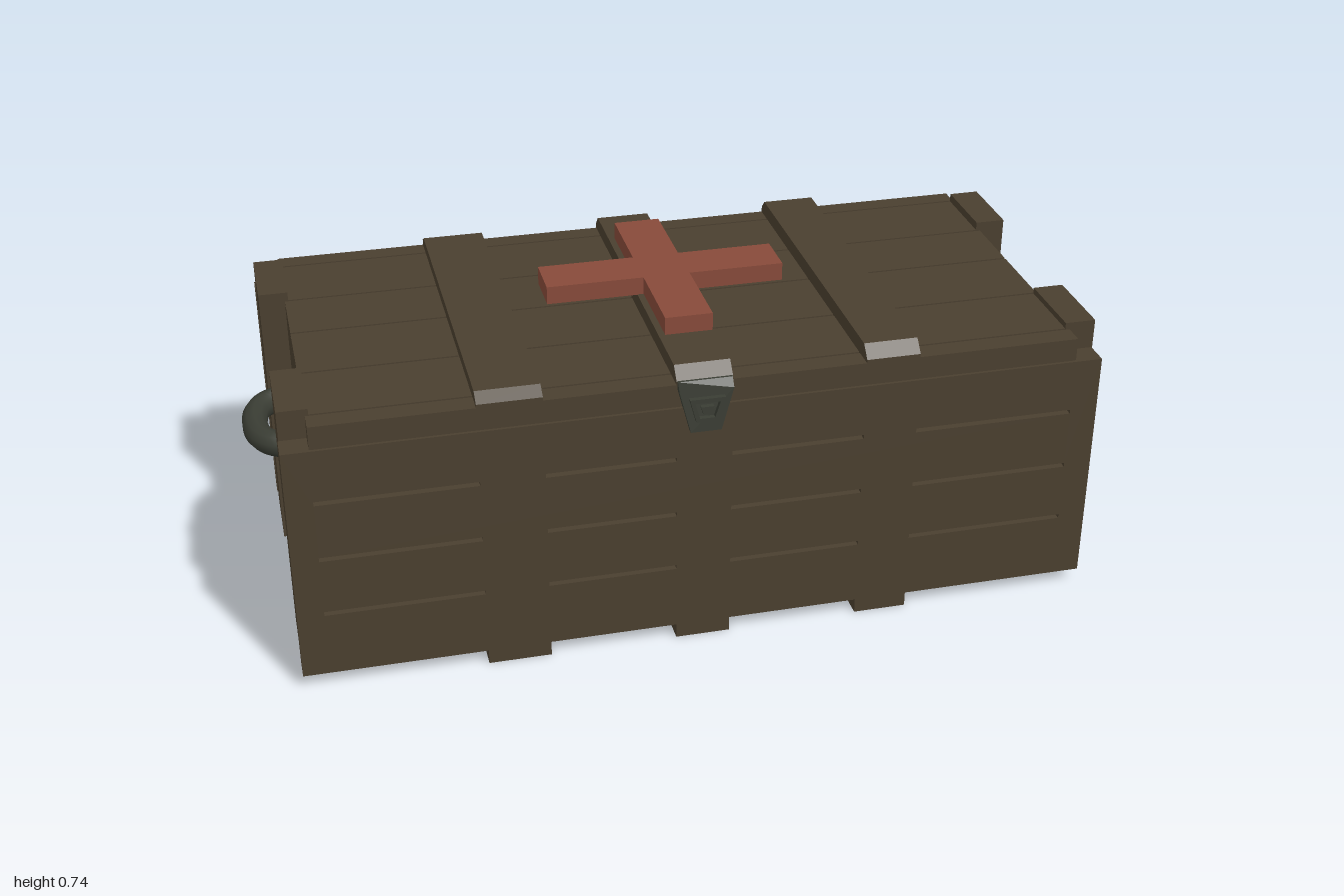
import * as THREE from 'three';

const wood = new THREE.MeshStandardMaterial({ color: 0x4a3f2f });
const metal = new THREE.MeshStandardMaterial({ color: 0x3a3d34 });
const red = new THREE.MeshStandardMaterial({ color: 0x874a3a });

// Box given by its extents on each axis
function block(name, x0, x1, y0, y1, z0, z1, material = wood) {
  const mesh = new THREE.Mesh(new THREE.BoxGeometry(x1 - x0, y1 - y0, z1 - z0), material);
  mesh.position.set((x0 + x1) / 2, (y0 + y1) / 2, (z0 + z1) / 2);
  mesh.name = name;
  return mesh;
}

// Flat outline pushed along its normal
function slab(name, points, depth, material, holes = []) {
  const shape = new THREE.Shape(points.map(([x, y]) => new THREE.Vector2(x, y)));
  for (const hole of holes) shape.holes.push(new THREE.Path(hole.map(([x, y]) => new THREE.Vector2(x, y))));
  const mesh = new THREE.Mesh(new THREE.ExtrudeGeometry(shape, { depth, bevelEnabled: false }), material);
  mesh.name = name;
  return mesh;
}

const rect = (x0, x1, y0, y1) => [[x0, y0], [x1, y0], [x1, y1], [x0, y1]];

// U-shaped carrying handle with rounded corners
function handle(name, side, y, z) {
  const points = [[0.85, -0.113], [0.89, -0.113], [0.93, -0.1], [0.957, -0.068], [0.968, -0.025],
    [0.968, 0.025], [0.957, 0.068], [0.93, 0.1], [0.89, 0.113], [0.85, 0.113]]
    .map(([px, pz]) => new THREE.Vector3(side * px, y, z + pz));
  const mesh = new THREE.Mesh(
    new THREE.TubeGeometry(new THREE.CatmullRomCurve3(points), 32, 0.03, 10), metal);
  mesh.name = name;
  return mesh;
}

export function createModel() {
  const model = new THREE.Group();
  model.name = 'crate';
  const straps = [[-0.51, -0.365, 0.693], [-0.07, 0.057, 0.702], [0.365, 0.49, 0.702]];

  // Chest core, whose ends show between the battens
  model.add(block('chestCore', -0.868, 0.868, 0.036, 0.612, -0.415, 0.395));

  // Front and back walls with slots between the planks
  const slots = [];
  for (const y of [0.195, 0.337, 0.48]) {
    for (const [x0, x1] of [[-0.87, -0.51], [-0.365, -0.07], [0.057, 0.365], [0.49, 0.865]]) {
      slots.push(rect(x0, x1, y - 0.005, y + 0.005));
    }
  }
  for (const [name, z, depth] of [['frontWall', 0.36, 0.06], ['backWall', -0.44, 0.05]]) {
    const wall = slab(name, rect(-0.93, 0.93, 0.035, 0.61), depth, wood, slots);
    wall.position.z = z;
    model.add(wall);
  }

  // Upright battens on both ends
  for (const side of [-1, 1]) {
    const [x0, x1] = side > 0 ? [0.86, 0.932] : [-0.928, -0.86];
    model.add(block('frontEndBatten', x0, x1, 0.015, 0.68, 0.17, 0.36));
    model.add(block('backEndBatten', x0, x1, 0.015, 0.686, -0.39, -0.203));
  }

  // Lid planks with narrow gaps over a base
  model.add(block('lidBase', -0.866, 0.866, 0.61, 0.655, -0.438, 0.413));
  const edges = [-0.44, -0.39, -0.2, -0.028, 0.17, 0.362, 0.415];
  for (let i = 0; i < edges.length - 1; i++) {
    const a = edges[i] + (i ? 0.003 : 0);
    const b = edges[i + 1] - (i < edges.length - 2 ? 0.003 : 0);
    model.add(block('lidPlank', -0.868, 0.868, 0.612, 0.666, a, b));
  }

  // Chamfered lid straps and the runners below
  for (const [x0, x1, top] of straps) {
    const profile = [[-0.415, 0.66], [0.44, 0.66], [0.44, 0.68], [0.418, top], [-0.388, top], [-0.415, 0.674]];
    const strap = slab('lidStrap', profile, x1 - x0, wood);
    strap.rotation.y = Math.PI / 2; // outline runs along -z
    strap.position.x = x0;
    model.add(strap);
    model.add(block('runner', x0, x1, 0, 0.036, -0.44, 0.42));
  }

  // Cross on the lid
  const cross = slab('cross', [[-0.055, -0.245], [0.055, -0.245], [0.055, -0.03], [0.28, -0.03],
    [0.28, 0.083], [0.055, 0.083], [0.055, 0.287], [-0.055, 0.287], [-0.055, 0.083],
    [-0.283, 0.083], [-0.283, -0.03], [-0.055, -0.03]], 0.043, red);
  cross.rotation.x = -Math.PI / 2;
  cross.position.y = 0.701;
  model.add(cross);

  // Hasp: tapered plate, raised frame and stud
  const hasp = new THREE.Group();
  hasp.name = 'hasp';
  const plate = slab('haspPlate', [[-0.042, 0.553], [0.028, 0.553], [0.055, 0.655], [0.055, 0.675],
    [-0.068, 0.675], [-0.068, 0.655]], 0.024, metal);
  plate.position.z = 0.41;
  // lean the plate's top edge back over the lid
  const pos = plate.geometry.attributes.position;
  for (let i = 0; i < pos.count; i++) {
    if (pos.getY(i) > 0.67 && pos.getZ(i) > 0.01) pos.setZ(i, 0.01);
  }
  plate.geometry.computeVertexNormals();
  const frame = slab('haspFrame', [[-0.032, 0.583], [0.018, 0.583], [0.034, 0.64], [-0.047, 0.64]], 0.012, metal,
    [[[-0.024, 0.592], [0.01, 0.592], [0.022, 0.63], [-0.035, 0.63]]]);
  frame.position.z = 0.433;
  const stud = slab('haspStud', [[-0.016, 0.601], [0.002, 0.601], [0.008, 0.62], [-0.022, 0.62]], 0.012, metal);
  stud.position.z = 0.433;
  hasp.add(plate, frame, stud);
  model.add(hasp);

  // Carrying handles
  model.add(handle('leftHandle', 1, 0.5, -0.043));
  model.add(handle('rightHandle', -1, 0.442, -0.028));
  return model;
}
